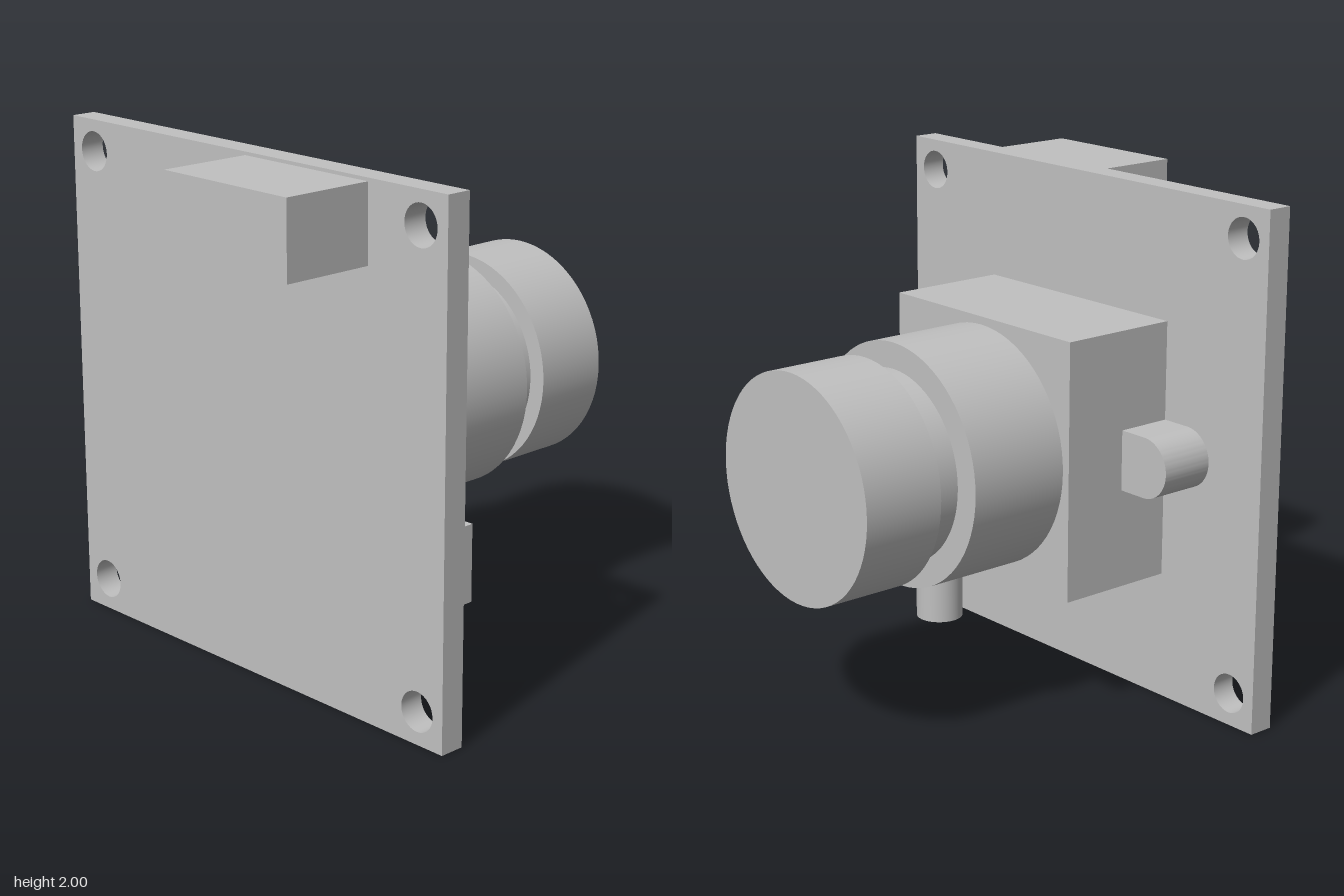
import * as THREE from 'three';
import { toCreasedNormals } from 'three/addons/utils/BufferGeometryUtils.js';

export function createModel() {
  const group = new THREE.Group();
  const grey = new THREE.MeshStandardMaterial({ color: 0xc0c0c0 });
  grey.name = 'plain grey';

  const add = (name, geometry) => {
    const mesh = new THREE.Mesh(geometry, grey);
    mesh.name = name;
    group.add(mesh);
    return mesh;
  };

  // Box given by its limits on each axis
  const box = (name, [x0, x1], [y0, y1], [z0, z1]) =>
    add(name, new THREE.BoxGeometry(x1 - x0, y1 - y0, z1 - z0))
      .position.set((x0 + x1) / 2, (y0 + y1) / 2, (z0 + z1) / 2);

  // Outline in (-z, y), extruded along x
  const extrudeX = (name, shape, x0, x1) => {
    const geo = new THREE.ExtrudeGeometry(shape, { depth: x1 - x0, bevelEnabled: false, curveSegments: 24 });
    geo.rotateY(Math.PI / 2).translate(x0, 0, 0);
    return add(name, toCreasedNormals(geo, 0.6));
  };

  // Circuit board with four corner holes
  const board = new THREE.Shape([[-1, 0], [1, 0], [1, 2], [-1, 2]].map(p => new THREE.Vector2(...p)));
  for (const u of [-0.875, 0.875]) {
    for (const v of [0.127, 1.877]) {
      board.holes.push(new THREE.Path().absarc(u, v, 0.077, 0, Math.PI * 2, true));
    }
  }
  extrudeX('circuitBoard', board, -0.545, -0.445);

  // Lens mount with rounded fixing lugs on both sides
  box('lensMount', [-0.445, 0.04], [0.502, 1.502], [-0.5, 0.5]);
  for (const side of [-1, 1]) {
    const lug = new THREE.Shape();
    const r = 0.117, c = 0.618;
    lug.moveTo(0.49, 1.003 - r);
    lug.lineTo(c, 1.003 - r);
    lug.absarc(c, 1.003, r, -Math.PI / 2, Math.PI / 2, false);
    lug.lineTo(0.49, 1.003 + r);
    lug.closePath();
    const mesh = extrudeX(side > 0 ? 'frontLug' : 'backLug', lug, -0.445, -0.225);
    // A half turn about x carries the lug to the other side
    if (side > 0) {
      mesh.rotation.x = Math.PI;
      mesh.position.y = 2.006;
    }
  }

  // Lens barrel sections
  const sections = [
    ['lensBase', 0.04, 0.455, 0.468],
    ['lensNeck', 0.455, 0.585, 0.368],
    ['lensHead', 0.585, 0.913, 0.435],
  ];
  for (const [name, x0, x1, r] of sections) {
    const geo = new THREE.CylinderGeometry(r, r, x1 - x0, 72).rotateZ(-Math.PI / 2);
    add(name, geo).position.set((x0 + x1) / 2, 1.003, 0);
  }

  // Focus locking screw under the barrel
  add('lockingScrew', new THREE.CylinderGeometry(0.088, 0.088, 0.24, 40)).position.set(0.248, 0.48, 0);

  // Small component on the lens side, connector on the other side
  box('chip', [-0.445, -0.37], [0.52, 0.81], [0.735, 0.965]);
  box('connector', [-0.915, -0.545], [1.695, 1.987], [0, 0.625]);

  return group;
}
